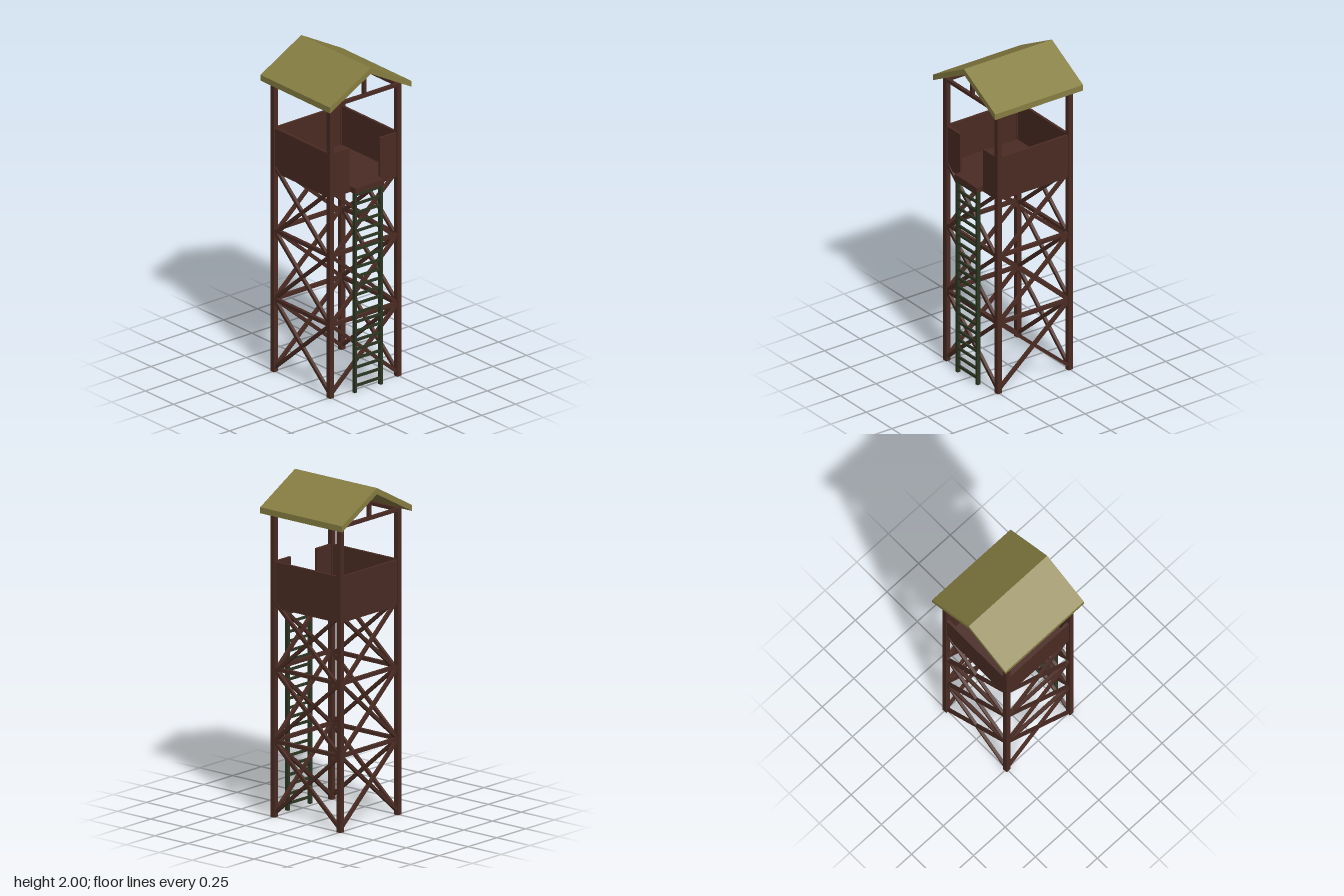
import * as THREE from 'three';

export function createModel() {
  const model = new THREE.Group();
  model.name = 'watchtower';

  const wood = new THREE.MeshStandardMaterial({ color: 0x4a2b23 });
  wood.name = 'dark brown wood';
  const thatch = new THREE.MeshStandardMaterial({ color: 0x877e42 });
  thatch.name = 'olive roof';
  const green = new THREE.MeshStandardMaterial({ color: 0x2c3622 });
  green.name = 'dark green ladder';

  const R = 0.25; // distance of the leg centres from the axis

  function box(parent, name, w, h, d, x, y, z, mat = wood) {
    const mesh = new THREE.Mesh(new THREE.BoxGeometry(w, h, d), mat);
    mesh.name = name;
    mesh.position.set(x, y, z);
    parent.add(mesh);
    return mesh;
  }

  // Corner legs
  for (const x of [-R, R]) {
    for (const z of [-R, R]) box(model, 'leg', 0.03, 1.82, 0.03, x, 0.91, z);
  }

  // Four sides: horizontals, crossed braces, top beam and wall panels
  const span = 2 * R - 0.03;
  const rise = 0.43;
  for (let i = 0; i < 4; i++) {
    const side = new THREE.Group();
    side.name = ['frontSide', 'leftSide', 'backSide', 'rightSide'][i];
    side.rotation.y = i * Math.PI / 2;
    model.add(side);

    for (const y of [0.45, 0.88]) box(side, 'crossBeam', span, 0.022, 0.02, 0, y, R);
    box(side, 'topBeam', span, 0.02, 0.02, 0, 1.81, R);

    for (const y of [0.235, 0.665, 1.067]) {
      for (const s of [-1, 1]) {
        const brace = box(side, 'brace', Math.hypot(span, rise * 0.94), 0.02, 0.018, 0, y, R);
        brace.rotation.z = s * Math.atan2(rise, 2 * R);
      }
    }

    if (i === 0) {
      // Entrance gap between two short panels
      for (const s of [-1, 1]) box(side, 'frontPanel', 0.122, 0.24, 0.016, s * 0.174, 1.395, R);
    } else {
      box(side, 'wall', span, 0.24, 0.016, 0, 1.395, R);
    }
  }

  // Platform with a small landing over the ladder
  box(model, 'platform', 0.51, 0.035, 0.51, 0, 1.2575, 0);
  box(model, 'landing', 0.21, 0.035, 0.05, 0, 1.2575, 0.275);

  // Gable roof
  const profile = new THREE.Shape([
    [-0.303, 1.8], [0, 1.963], [0.303, 1.8], [0.303, 1.836], [0, 2], [-0.303, 1.836],
  ].map(([x, y]) => new THREE.Vector2(x, y)));
  const roofGeo = new THREE.ExtrudeGeometry(profile, { depth: 0.62, bevelEnabled: false });
  roofGeo.translate(0, 0, -0.31);
  const roof = new THREE.Mesh(roofGeo, thatch);
  roof.name = 'roof';
  model.add(roof);

  // King posts under the ridge
  for (const z of [-R, R]) box(model, 'kingPost', 0.02, 0.15, 0.02, 0, 1.893, z);

  // Ladder
  const ladder = new THREE.Group();
  ladder.name = 'ladder';
  model.add(ladder);
  for (const s of [-1, 1]) box(ladder, 'ladderRail', 0.018, 1.24, 0.022, s * 0.096, 0.62, 0.282, green);
  for (let i = 0; i < 22; i++) {
    box(ladder, 'rung', 0.18, 0.014, 0.012, 0, 0.04 + i * 0.0565, 0.282, green);
  }

  return model;
}
